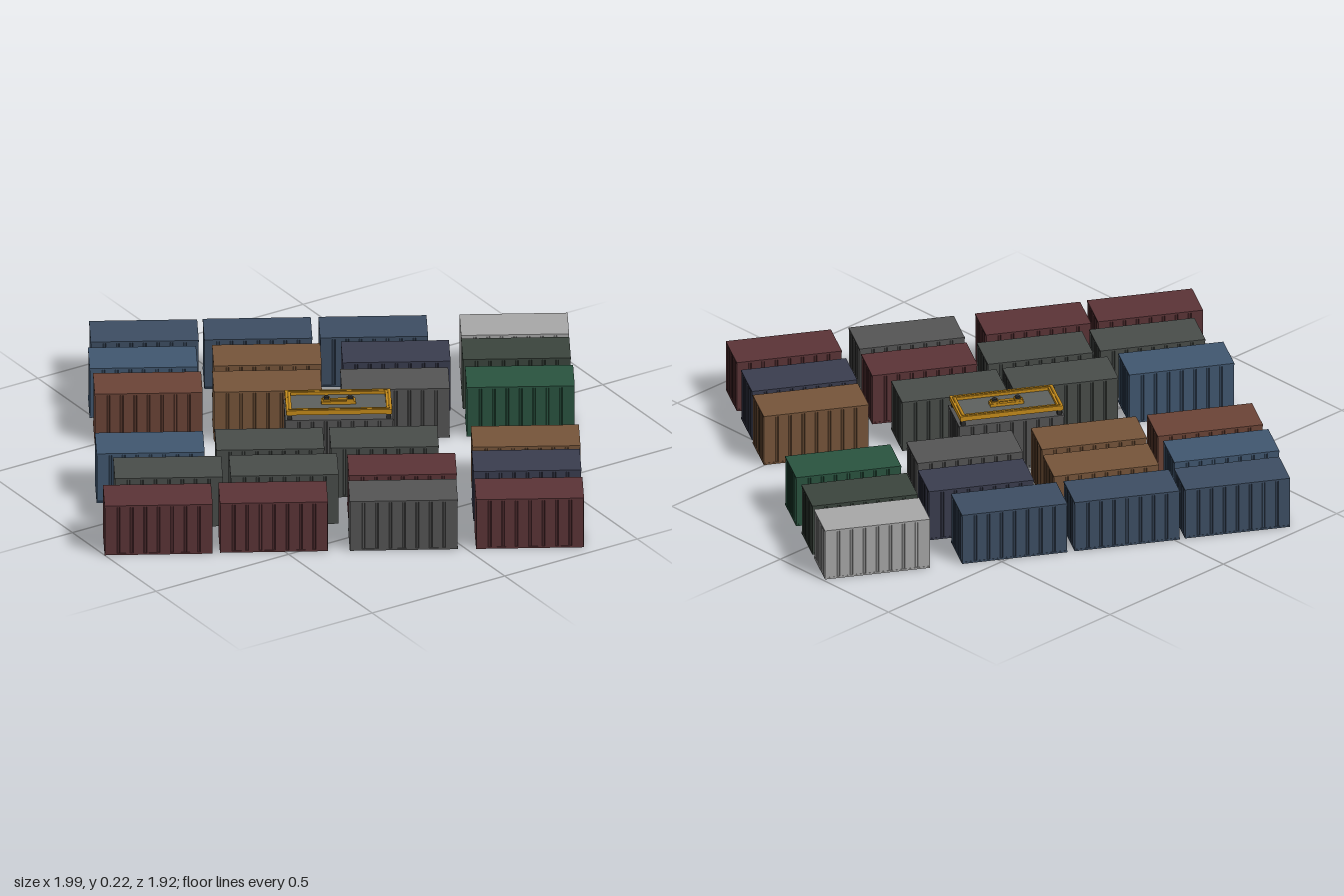
import * as THREE from 'three';

const L = 0.345, W = 0.152, H = 0.175;
const YAW = -30.2 * Math.PI / 180;

const mat = (color) => new THREE.MeshStandardMaterial({ color, flatShading: true });

const COLORS = {
  steelBlue: 0x3c4d62, skyBlue: 0x40566f, rust: 0x6a4336, brown: 0x755439,
  navy: 0x393c4e, grey: 0x545454, charcoal: 0x484c49, pale: 0xa6a6a6,
  moss: 0x3a443c, green: 0x29533f, red: 0x5a3336,
};

// Containers: colour, centre x, centre z
const YARD = [
  ['steelBlue', -0.22, -0.81], ['steelBlue', 0.095, -0.63], ['steelBlue', 0.415, -0.445],
  ['skyBlue', -0.325, -0.65], ['rust', -0.41, -0.485], ['brown', 0.02, -0.455],
  ['brown', -0.08, -0.295], ['navy', 0.38, -0.255], ['grey', 0.273, -0.09],
  ['pale', 0.805, -0.22], ['moss', 0.717, -0.07], ['green', 0.62, 0.107],
  ['skyBlue', -0.634, -0.118], ['charcoal', -0.68, 0.064], ['red', -0.813, 0.214],
  ['charcoal', -0.297, 0.064], ['charcoal', -0.358, 0.246], ['red', -0.492, 0.395],
  ['charcoal', 0.02, 0.246], ['red', -0.037, 0.444], ['grey', -0.134, 0.604],
  ['brown', 0.406, 0.481], ['navy', 0.315, 0.631], ['red', 0.214, 0.807],
  ['grey', 0.003, 0],
];

// Plan outline with shallow vertical grooves on the long sides and the door end
function wallShape() {
  const pts = [];
  const groovedEdge = (ax, ay, bx, by, count) => {
    const len = Math.hypot(bx - ax, by - ay);
    const ux = (bx - ax) / len, uy = (by - ay) / len;
    const add = (t, inset) => pts.push(new THREE.Vector2(ax + ux * t - uy * inset, ay + uy * t + ux * inset));
    add(0, 0);
    for (let i = 1; i <= count; i++) {
      const t = len * i / (count + 1);
      add(t - 0.005, 0);
      add(t - 0.0025, 0.003);
      add(t + 0.0025, 0.003);
      add(t + 0.005, 0);
    }
  };
  const x = L / 2 - 0.001, y = W / 2 - 0.001;
  groovedEdge(-x, -y, x, -y, 7);
  groovedEdge(x, -y, x, y, 3);
  groovedEdge(x, y, -x, y, 7);
  groovedEdge(-x, y, -x, -y, 0);
  return new THREE.Shape(pts);
}

function part(parent, name, geometry, material, x = 0, y = 0, z = 0) {
  const mesh = new THREE.Mesh(geometry, material);
  mesh.name = name;
  mesh.position.set(x, y, z);
  parent.add(mesh);
  return mesh;
}

export function createModel() {
  const model = new THREE.Group();
  model.name = 'containerYard';

  const walls = new THREE.ExtrudeGeometry(wallShape(), { depth: H - 0.012, bevelEnabled: false });
  walls.rotateX(-Math.PI / 2);
  const slab = new THREE.BoxGeometry(L, 0.006, W);
  const rod = new THREE.CylinderGeometry(0.0015, 0.0015, H - 0.012, 6);
  const dark = mat(0x2a2a2a);
  const paints = {};
  for (const key in COLORS) paints[key] = mat(COLORS[key]);

  // Containers
  YARD.forEach(([color, x, z]) => {
    const box = new THREE.Group();
    box.name = 'container';
    box.position.set(x, 0, z);
    box.rotation.y = YAW;
    part(box, 'walls', walls, paints[color], 0, 0.006, 0);
    part(box, 'floor', slab, paints[color], 0, 0.003, 0);
    part(box, 'roof', slab, paints[color], 0, H - 0.003, 0);
    for (const rz of [-0.05, -0.02, 0.02, 0.05]) {
      part(box, 'lockingRod', rod, paints[color], L / 2 - 0.001, H / 2, rz);
    }
    model.add(box);
  });

  // Lifting spreader resting on the middle container
  const spreader = new THREE.Group();
  spreader.name = 'spreader';
  spreader.position.set(0.003, 0, 0);
  spreader.rotation.y = YAW;
  model.add(spreader);
  const yellow = mat(0xc48a1a), amber = mat(0x8a6212), steel = mat(0x5c605e);

  // Outer frame with a darker raised strip on every beam
  const rail = 0.018, sl = 0.338, sw = 0.15;
  for (const s of [-1, 1]) {
    part(spreader, 'longBeam', new THREE.BoxGeometry(sl, 0.016, rail), yellow, 0, 0.201, s * (sw - rail) / 2);
    part(spreader, 'endBeam', new THREE.BoxGeometry(rail, 0.016, sw - 2 * rail), yellow, s * (sl - rail) / 2, 0.201, 0);
    part(spreader, 'longStrip', new THREE.BoxGeometry(sl - rail, 0.002, 0.005), amber, 0, 0.2095, s * (sw - rail) / 2);
    part(spreader, 'endStrip', new THREE.BoxGeometry(0.005, 0.002, sw - rail), amber, s * (sl - rail) / 2, 0.2095, 0);
    for (const t of [-1, 1]) {
      part(spreader, 'twistLock', new THREE.BoxGeometry(0.014, 0.02, 0.014), dark, s * (sl / 2 - 0.011), 0.184, t * (sw / 2 - 0.011));
    }
    // Pulley blocks on the centre beam
    part(spreader, 'pulleyMount', new THREE.BoxGeometry(0.024, 0.006, 0.026), yellow, s * 0.038, 0.212, 0);
    const pulley = part(spreader, 'pulley', new THREE.CylinderGeometry(0.009, 0.009, 0.016, 12), dark, s * 0.038, 0.214, 0);
    pulley.rotation.x = Math.PI / 2;
  }
  part(spreader, 'deckPlate', new THREE.BoxGeometry(sl - 2 * rail, 0.004, sw - 2 * rail), steel, 0, 0.197, 0);
  part(spreader, 'centreBeam', new THREE.BoxGeometry(0.11, 0.01, 0.028), yellow, 0, 0.204, 0);
  part(spreader, 'centreSlot', new THREE.BoxGeometry(0.05, 0.002, 0.01), amber, 0, 0.2095, 0);
  return model;
}
